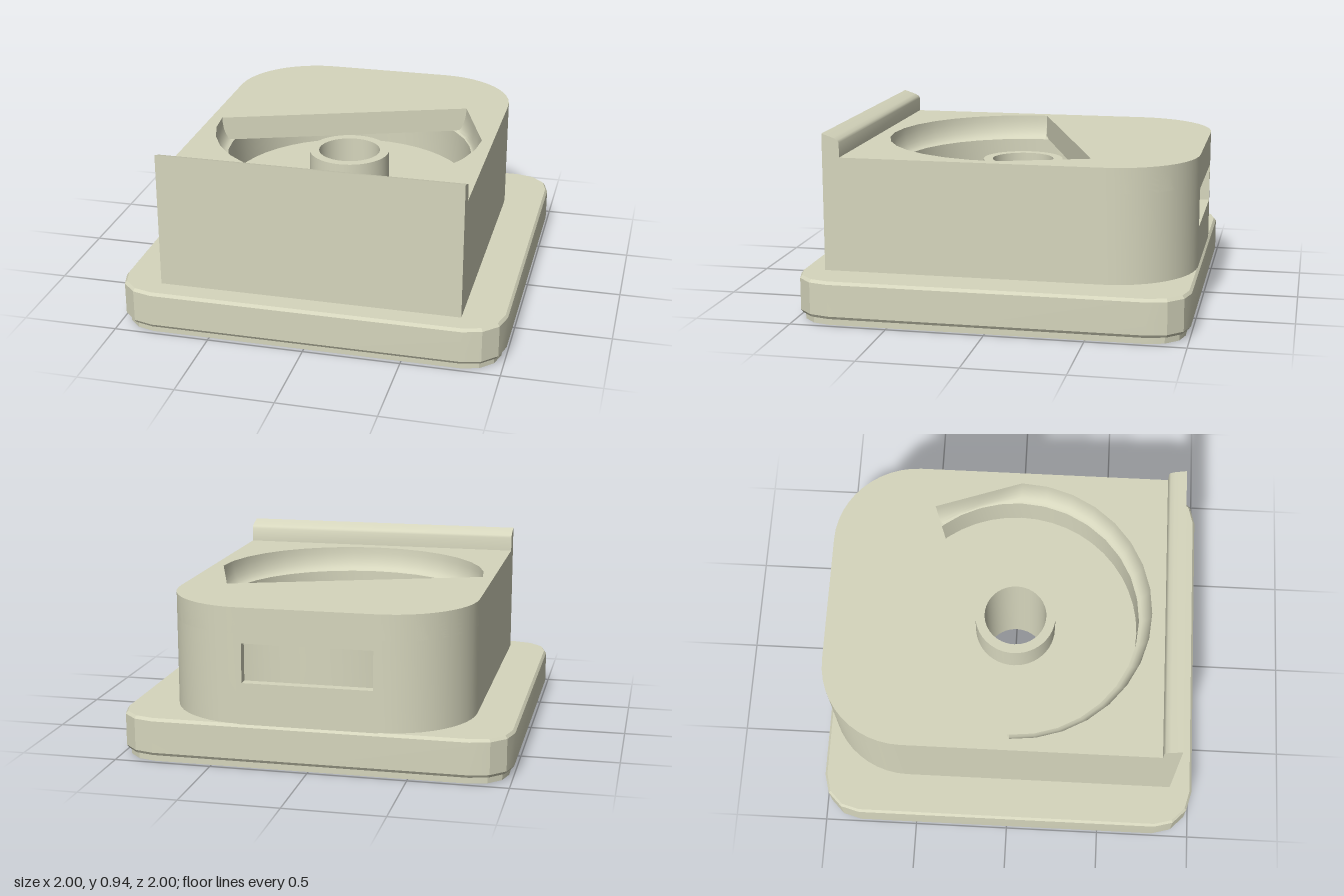
import * as THREE from 'three';
import { toCreasedNormals } from 'three/addons/utils/BufferGeometryUtils.js';

const material = new THREE.MeshStandardMaterial({ color: 0xd6d6bd });
const V2 = (x, y) => new THREE.Vector2(x, y);

function add(group, name, geometry, crease = 0.6) {
  const mesh = new THREE.Mesh(toCreasedNormals(geometry, crease), material);
  mesh.name = name;
  group.add(mesh);
}

// Plan shape (x, z) extruded between two heights
function slab(shape, y0, y1) {
  return new THREE.ExtrudeGeometry(shape, { depth: y1 - y0, bevelEnabled: false, curveSegments: 12 })
    .rotateX(Math.PI / 2).translate(0, y1, 0);
}

// Skin over a list of equally long point rows
function skin(rows, closed) {
  const n = rows[0].length, index = [];
  for (let r = 0; r < rows.length - 1; r++) {
    for (let i = 0; i < (closed ? n : n - 1); i++) {
      const j = (i + 1) % n, a = r * n + i, b = r * n + j;
      index.push(a, a + n, b, b, a + n, b + n);
    }
  }
  const g = new THREE.BufferGeometry().setFromPoints(rows.flat());
  g.setIndex(index);
  return g;
}

// Square plan with three-sided corners
function plateLoop(inset) {
  const pts = [], c = 0.8, r = 0.2 - inset;
  for (let q = 0; q < 4; q++) {
    const sx = q === 0 || q === 3 ? c : -c, sz = q < 2 ? c : -c;
    for (let k = 0; k <= 3; k++) {
      const a = (q + k / 3) * Math.PI / 2;
      pts.push(V2(sx + r * Math.cos(a), sz + r * Math.sin(a)));
    }
  }
  return pts;
}

// Housing plan from back edge at -endX, round the front, to back edge at +endX
function housingPath(inset, endX) {
  const w = 0.78 - inset, back = -0.99 + inset, front = 0.88 - inset, r = 0.44 - inset;
  const pts = [V2(-endX, back)];
  for (let k = 0; k <= 12; k++) {
    const a = -Math.PI / 2 - k / 12 * Math.PI / 2;
    pts.push(V2(-w + r + r * Math.cos(a), back + r + r * Math.sin(a)));
  }
  pts.push(V2(-w, front), V2(w, front));
  for (let k = 0; k <= 12; k++) {
    const a = -k / 12 * Math.PI / 2;
    pts.push(V2(w - r + r * Math.cos(a), back + r + r * Math.sin(a)));
  }
  pts.push(V2(endX, back));
  return pts;
}

export function createModel() {
  const group = new THREE.Group();
  const wall = 0.05, roofY = 0.82, flareY = 0.69, windowX = 0.33;

  // Base skirt, open below, with a stepped foot and chamfered top edge
  const skirt = [[0.04, 0.21], [0.04, 0], [0.025, 0], [0.025, 0.035], [0.01, 0.035],
    [0, 0.05], [0, 0.215], [0.012, 0.23]];
  add(group, 'baseSkirt', skin(skirt.map(([inset, y]) =>
    plateLoop(inset).map(p => new THREE.Vector3(p.x, y, p.y))), true), 0.3);

  // Base top plate, open under the housing
  const plate = new THREE.Shape(plateLoop(0.012));
  plate.holes.push(new THREE.Path(housingPath(wall, windowX)));
  add(group, 'basePlate', slab(plate, 0.2, 0.23));

  // Housing walls, with a window left in the back
  const walls = new THREE.Shape([...housingPath(0, windowX), ...housingPath(wall, windowX).reverse()]);
  add(group, 'housingWalls', slab(walls, 0.205, roofY));
  for (const [name, y0, y1] of [['windowSill', 0.205, 0.44], ['windowHeader', 0.64, roofY]]) {
    add(group, name, new THREE.BoxGeometry(windowX * 2, y1 - y0, wall)
      .translate(0, (y0 + y1) / 2, -0.99 + wall / 2));
  }

  // Plan directions of the pocket opening: arc, then a straight edge to the chord
  const rIn = 0.66, rOut = 0.72, corner = V2(0.56, -0.46);
  const rim = [], foot = [];
  for (let k = 0; k <= 4; k++) {
    const p = corner.clone().lerp(V2(rOut, 0), k / 4);
    rim.push(p);
    foot.push(p.clone().setLength(rIn));
  }
  for (let k = 1; k <= 16; k++) {
    const a = k / 16 * Math.PI;
    rim.push(V2(rOut * Math.cos(a), rOut * Math.sin(a)));
    foot.push(V2(rIn * Math.cos(a), rIn * Math.sin(a)));
  }

  // Roof with the opening cut by a slanting chord
  const roof = new THREE.Shape(housingPath(0, windowX));
  roof.holes.push(new THREE.Path(rim));
  add(group, 'roof', slab(roof, flareY, roofY));

  // Rounded flare from the rim down to the pocket wall
  const rows = [];
  for (let s = 0; s <= 6; s++) {
    const a = s / 6 * Math.PI / 2, y = roofY - (roofY - flareY) * Math.sin(a);
    rows.push(rim.map((p, i) => {
      const q = foot[i].clone().lerp(p, Math.cos(a));
      return new THREE.Vector3(q.x, y, q.y);
    }));
  }
  add(group, 'pocketFlare', skin(rows, false));

  // Round pocket wall, floor and hollow centre post as one turned body
  const turned = [[0.68, 0.03], [0.74, 0.03], [0.74, 0.7], [rIn, flareY], [rIn, 0.5], [0.215, 0.5],
    [0.215, 0.7], [0.165, 0.7], [0.165, 0.03], [0.215, 0.03], [0.215, 0.45], [0.68, 0.45], [0.68, 0.03]];
  add(group, 'pocketAndPost', new THREE.LatheGeometry(turned.map(p => V2(...p)), 48));

  // Raised lip along the front edge, sloping backwards
  const lip = new THREE.Shape([[0.79, 0.81], [0.88, 0.81], [0.88, 0.94], [0.865, 0.935],
    [0.82, 0.92], [0.797, 0.908], [0.79, 0.895]].map(p => V2(...p)));
  add(group, 'frontLip', new THREE.ExtrudeGeometry(lip, { depth: 1.56, bevelEnabled: false })
    .rotateY(-Math.PI / 2).translate(0.78, 0, 0));

  return group;
}
